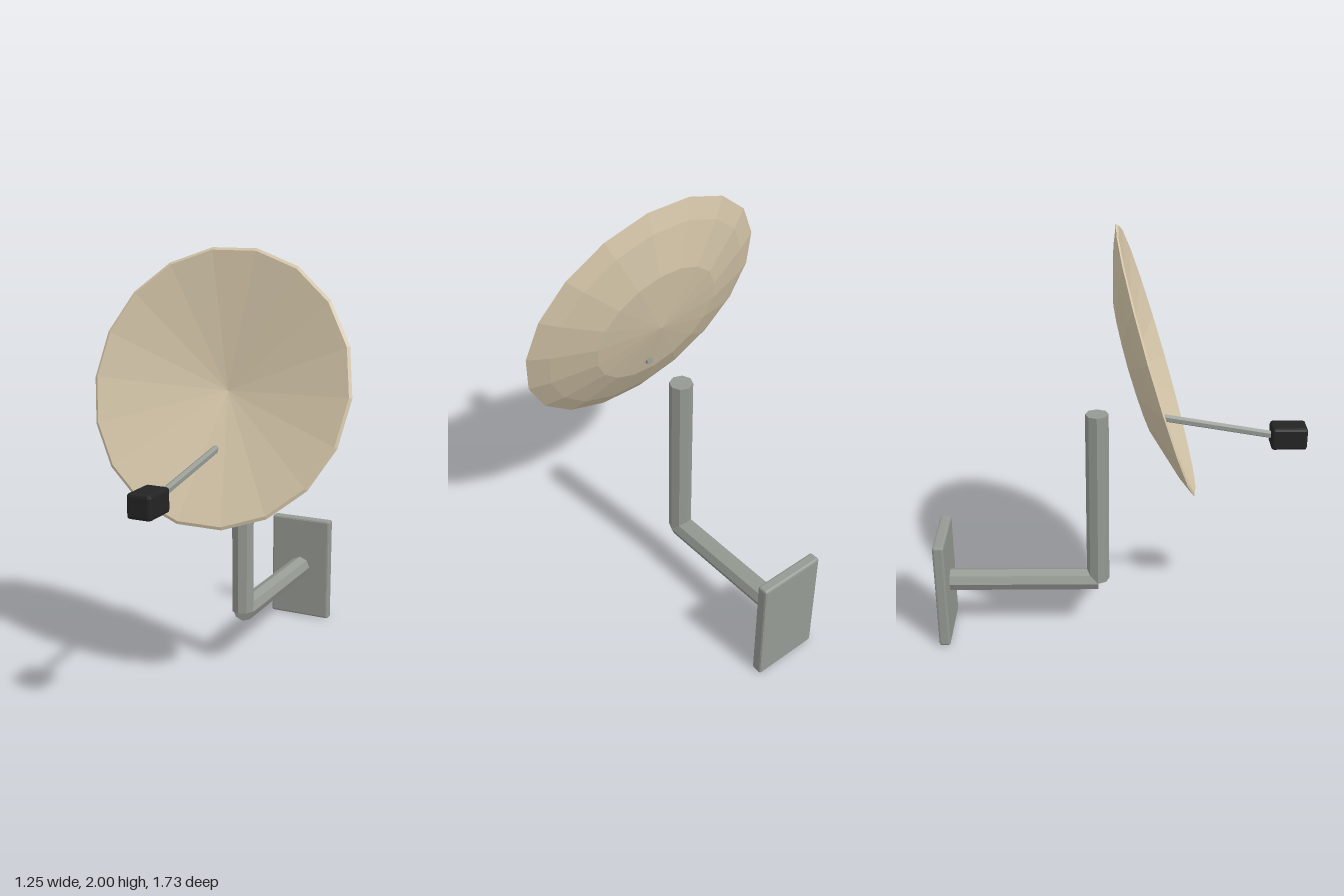
import * as THREE from 'three';
import { RoundedBoxGeometry } from 'three/addons/geometries/RoundedBoxGeometry.js';

export function createModel() {
  const model = new THREE.Group();
  const flat = (name, color) => {
    const m = new THREE.MeshStandardMaterial({ color, flatShading: true });
    m.name = name;
    return m;
  };
  const cream = flat('cream paint', 0xd9caad);
  const metal = flat('grey metal', 0x959a93);
  const black = flat('black plastic', 0x242424);

  const add = (name, geometry, material, x, y, z) => {
    const mesh = new THREE.Mesh(geometry, material);
    mesh.name = name;
    mesh.position.set(x, y, z);
    model.add(mesh);
    return mesh;
  };
  // Box with one chamfer on every edge
  const chamferBox = (w, h, d, bevel) => new RoundedBoxGeometry(w, h, d, 1, bevel);

  // Straight bar between two points in the plane x = 0, given as [y, z]
  const bar = (name, from, to, radius, sides) => {
    const a = new THREE.Vector3(0, ...from);
    const b = new THREE.Vector3(0, ...to);
    const dir = b.clone().sub(a);
    const mid = a.clone().add(b).multiplyScalar(0.5);
    const mesh = add(name, new THREE.CylinderGeometry(radius, radius, dir.length(), sides), metal, 0, mid.y, mid.z);
    mesh.rotation.x = Math.atan2(dir.z, dir.y);
  };

  // Dish: faceted bowl behind, shallow cone in front, tilted upwards
  const profile = [
    [0, -0.14], [0.325, -0.11], [0.533, -0.046], [0.625, -0.006], [0.612, 0], [0, -0.12],
  ].map(([r, h]) => new THREE.Vector2(r, h));
  const dish = add('dish', new THREE.LatheGeometry(profile, 18, Math.PI / 2), cream, 0, 1.413, 0.18);
  dish.rotation.x = THREE.MathUtils.degToRad(73);

  // Receiver on its thin arm, which passes through the dish
  bar('receiverArm', [1.147, 0.127], [1.042, 0.73], 0.018, 6);
  add('receiver', chamferBox(0.11, 0.107, 0.163, 0.013), black, 0, 1.043, 0.782);

  // Mast, wall arm and wall plate
  bar('mast', [0.28, -0.094], [1.152, -0.094], 0.054, 8);
  bar('wallArm', [0.277, -0.094], [0.277, -0.83], 0.054, 8);
  add('wallPlate', chamferBox(0.324, 0.545, 0.053, 0.01), metal, 0, 0.2725, -0.837);

  return model;
}
